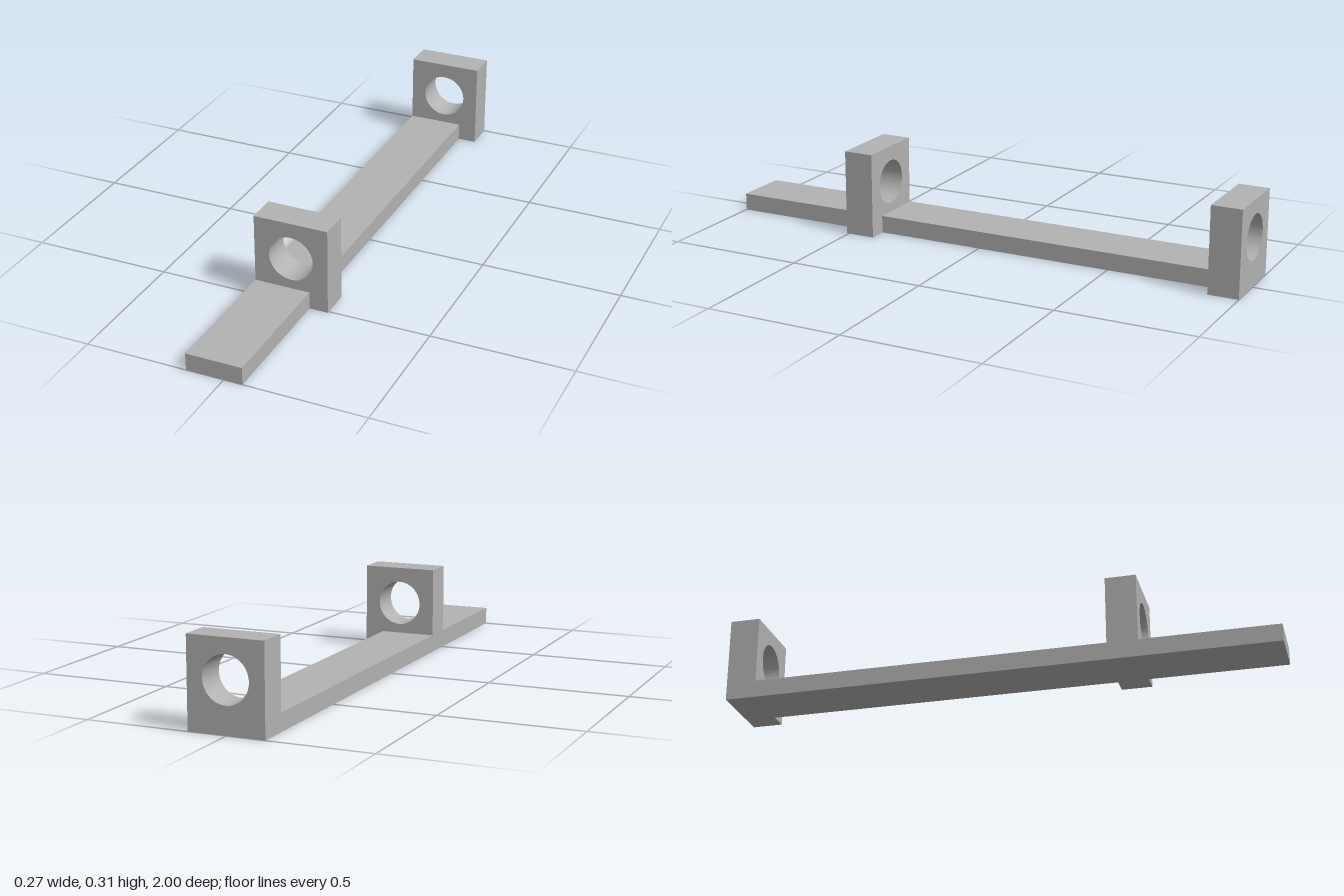
import * as THREE from 'three';
import { toCreasedNormals } from 'three/addons/utils/BufferGeometryUtils.js';

const HALF_W = 0.135, RAIL_RIGHT = 0.067, RAIL_H = 0.063;
const BLOCK_H = 0.311, BLOCK_D = 0.11, HOLE_Y = 0.177, HOLE_R = 0.081;

export function createModel() {
  const model = new THREE.Group();
  model.name = 'bracketRail';
  const grey = new THREE.MeshStandardMaterial({ color: 0xb2b2b2 });
  grey.name = 'plain grey';

  // Upright block with a round through hole
  const face = new THREE.Shape();
  face.moveTo(-HALF_W, 0);
  face.lineTo(HALF_W, 0);
  face.lineTo(HALF_W, BLOCK_H);
  face.lineTo(-HALF_W, BLOCK_H);
  face.closePath();
  const hole = new THREE.Path();
  hole.absarc(0, HOLE_Y, HOLE_R, 0, Math.PI * 2, true);
  face.holes.push(hole);
  const blockGeometry = toCreasedNormals(
    new THREE.ExtrudeGeometry(face, { depth: BLOCK_D, bevelEnabled: false, curveSegments: 48 }),
    Math.PI / 6
  );

  const addBlock = (name, backZ) => {
    const block = new THREE.Mesh(blockGeometry, grey);
    block.name = name;
    block.position.z = backZ;
    model.add(block);
  };
  const frontZ = 0.398, rearZ = -1;
  addBlock('frontBlock', frontZ);
  addBlock('rearBlock', rearZ);

  // Flat rail, split where the blocks stand
  const addRail = (name, z0, z1) => {
    const rail = new THREE.Mesh(new THREE.BoxGeometry(RAIL_RIGHT + HALF_W, RAIL_H, z1 - z0), grey);
    rail.name = name;
    rail.position.set((RAIL_RIGHT - HALF_W) / 2, RAIL_H / 2, (z0 + z1) / 2);
    model.add(rail);
  };
  addRail('middleRail', rearZ + BLOCK_D, frontZ);
  addRail('frontRail', frontZ + BLOCK_D, 1);

  return model;
}
